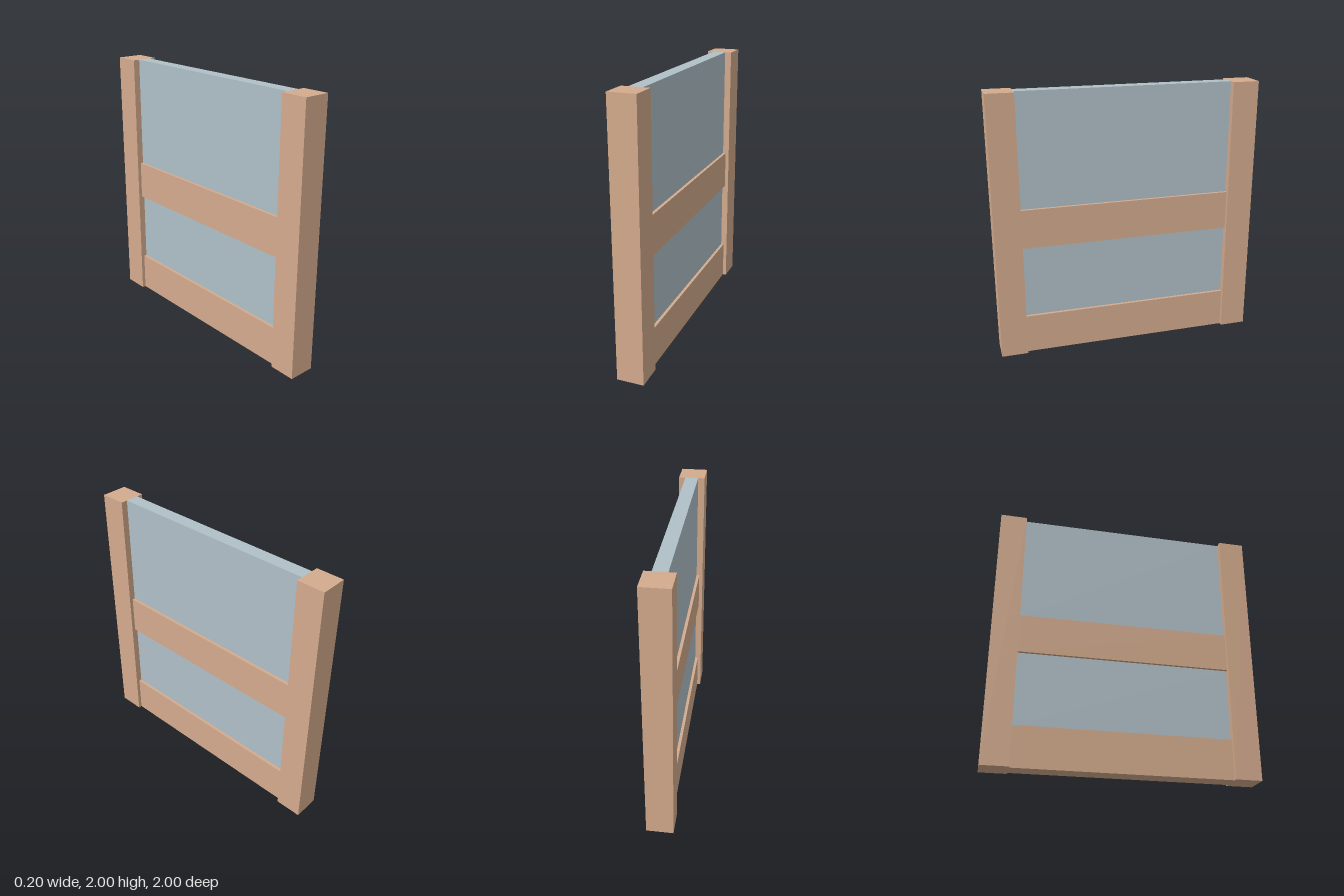
import * as THREE from 'three';

export function createModel() {
  const group = new THREE.Group();
  const wood = new THREE.MeshStandardMaterial({ color: 0xd4ab8d });
  const glass = new THREE.MeshStandardMaterial({ color: 0xb0c0c8 });

  // Box given by its width, its y range and its z range
  function addBox(name, material, width, y0, y1, z0, z1) {
    const mesh = new THREE.Mesh(new THREE.BoxGeometry(width, y1 - y0, z1 - z0), material);
    mesh.position.set(0, (y0 + y1) / 2, (z0 + z1) / 2);
    mesh.name = name;
    group.add(mesh);
  }

  // Square posts at both ends
  addBox('frontPost', wood, 0.2, 0, 2, 0.8, 1);
  addBox('backPost', wood, 0.2, 0, 2, -1, -0.8);

  // Rails between the posts
  addBox('bottomRail', wood, 0.145, 0, 0.3, -0.8, 0.8);
  addBox('middleRail', wood, 0.145, 0.855, 1.15, -0.8, 0.8);

  // Panes set back from the rails
  addBox('lowerPane', glass, 0.1, 0.3, 0.855, -0.8, 0.8);
  addBox('upperPane', glass, 0.1, 1.15, 2, -0.8, 0.8);

  return group;
}
